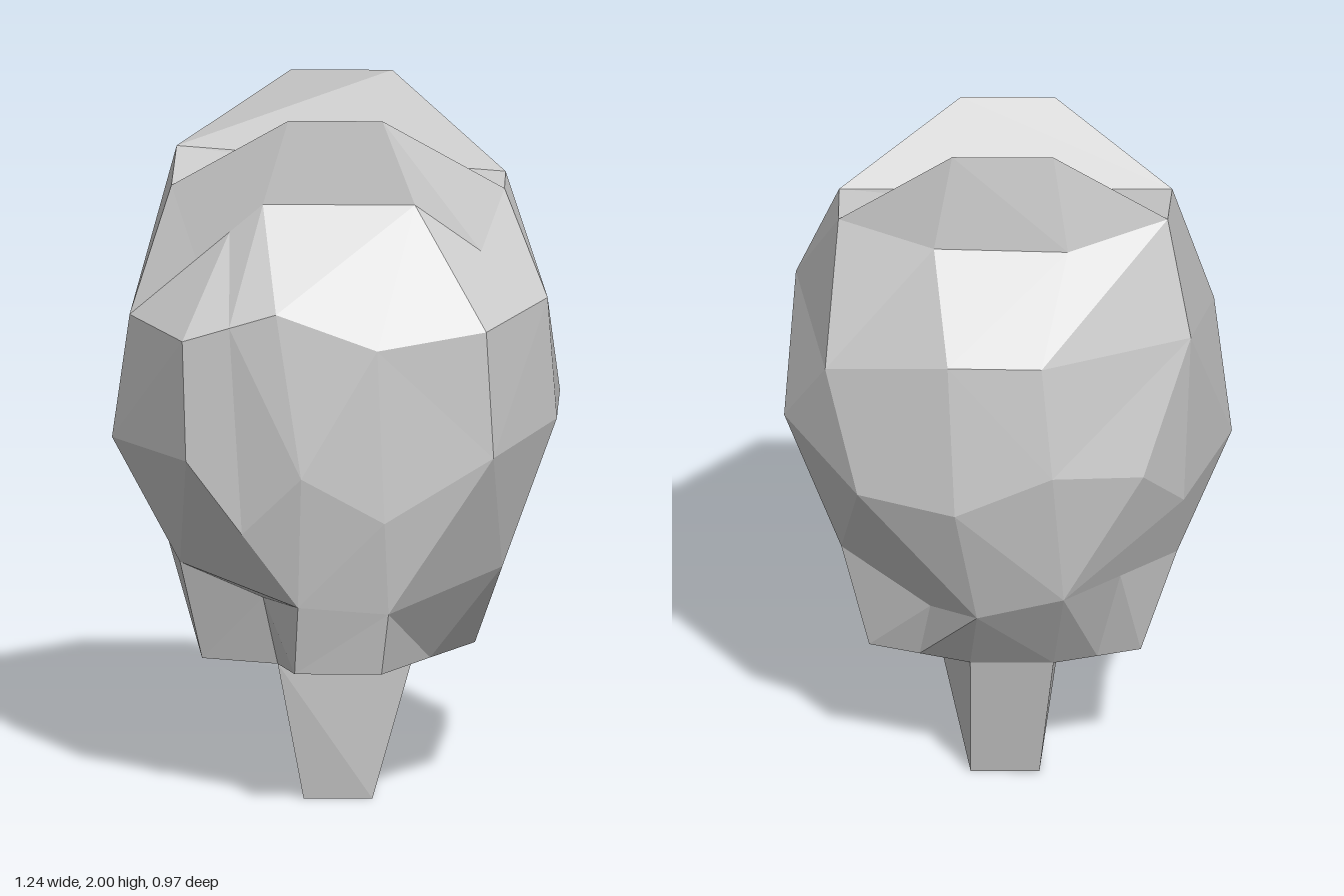
import * as THREE from 'three';

const stone = new THREE.MeshStandardMaterial({ color: 0xcccccc });
stone.name = 'pale grey';

// Triangles collected from points, flat shaded, skipping collapsed ones
function facetMesh(name, tris) {
  const pts = [];
  for (const [a, b, c] of tris) {
    const [p, q, r] = [a, b, c].map(v => new THREE.Vector3(...v));
    const area = q.clone().sub(p).cross(r.clone().sub(p)).length();
    if (area > 1e-6) pts.push(p, q, r);
  }
  const geo = new THREE.BufferGeometry().setFromPoints(pts);
  geo.computeVertexNormals();
  const mesh = new THREE.Mesh(geo, stone);
  mesh.name = name;
  return mesh;
}

// Quad split along the diagonal that bulges outward, or inward for a dent
function quad(tris, a, b, c, d, dent = false) {
  const out = (p, q) => Math.hypot(p[0] + q[0], p[1] + q[1] - 2.1, p[2] + q[2]);
  if ((out(a, c) >= out(b, d)) !== dent) tris.push([a, b, c], [a, c, d]);
  else tris.push([a, b, d], [b, c, d]);
}

// Skin between rings listed bottom to top, counter-clockwise from above
function loft(rings, dents = []) {
  const tris = [];
  for (let k = 0; k + 1 < rings.length; k++) {
    const lo = rings[k], hi = rings[k + 1], n = lo.length;
    for (let i = 0; i < n; i++) {
      const j = (i + 1) % n;
      quad(tris, lo[i], lo[j], hi[j], hi[i], dents.includes(`${k},${i}`));
    }
  }
  return tris;
}

const mid = (p, q) => p.map((v, i) => (v + q[i]) / 2);
// Adds a midpoint between the last and first point of a ring
const closeMid = r => [...r, mid(r[0], r[r.length - 1])];
// Repeats one point on the +x side and one at the back, to match the fuller middle ring
const widen = (r, side, back) => [...r.slice(0, 3), r[side], ...r.slice(3, 7), r[back], ...r.slice(7)];

// Where the trunk joins the crown: front left, front right, back right, back left
const neck = [[-0.16, 0.4, 0.165], [0.21, 0.4, 0.11], [0.1, 0.4, -0.2], [-0.13, 0.4, -0.2]];

function createCrown() {
  // Each ring runs front, +x side, back, -x side
  const joint = [0, 1, 1, 1, 2, 2, 3, 3, 3, 0, 0].map(i => neck[i]);
  const base = [
    [-0.11, 0.42, 0.37], [0.13, 0.42, 0.37], [0.26, 0.41, 0.125], [0.38, 0.4, -0.1], [0.24, 0.4, -0.15],
    neck[2], neck[3], [-0.25, 0.4, -0.16], [-0.37, 0.4, -0.12], [-0.37, 0.4, 0.1], neck[0]];
  const low = closeMid([
    [-0.1, 0.62, 0.42], [0.15, 0.6, 0.41], [0.46, 0.68, 0.17], [0.457, 0.71, -0.1], [0.268, 0.67, -0.235],
    [0.08, 0.635, -0.37], [-0.16, 0.71, -0.4], [-0.315, 0.705, -0.25], [-0.47, 0.7, -0.1], [-0.43, 0.69, 0.17]]);
  // Notches tucked under the lower edge, back +x and front -x
  const undercut = [...low];
  undercut[4] = [0.21, 0.59, -0.22];
  undercut[10] = [-0.2, 0.6, 0.21];
  const middle = [
    [-0.09, 1.0, 0.485], [0.14, 0.87, 0.465], [0.44, 1.04, 0.39], [0.61, 1.09, 0.12], [0.615, 1.12, -0.09],
    [0.41, 1.03, -0.38], [0.14, 1.02, -0.485], [-0.13, 1.14, -0.485], [-0.38, 1.09, -0.38],
    [-0.49, 0.93, -0.22], [-0.62, 1.01, 0.03], [-0.41, 1.03, 0.4]];
  middle.push(mid(middle[11], low[0]));
  const upper = closeMid([
    [-0.16, 1.46, 0.455], [0.12, 1.36, 0.465], [0.42, 1.4, 0.4], [0.585, 1.44, 0.15], [0.5, 1.36, -0.26],
    [0.16, 1.47, -0.45], [-0.1, 1.47, -0.455], [-0.51, 1.46, -0.25], [-0.57, 1.38, 0.12], [-0.42, 1.37, 0.4]]);
  const frontL = [-0.2, 1.72, 0.23], frontR = [0.22, 1.72, 0.23];
  const shoulder = closeMid([
    frontL, frontR, mid(frontR, upper[3]), [0.465, 1.735, 0.09], [0.465, 1.74, -0.09],
    [0.2, 1.72, -0.22], [-0.17, 1.72, -0.235], [-0.445, 1.79, -0.17], [-0.455, 1.74, 0.09], mid(frontL, upper[8])]);
  // Two raised fins, front and back, meeting the shoulder at their ends
  const fl = [-0.13, 1.955, 0.22], fr = [0.13, 1.955, 0.22];
  const bl = [-0.13, 2, -0.2], br = [0.15, 2, -0.2];
  const [sf, sb, lb, lf] = [3, 4, 7, 8].map(i => shoulder[i]);
  const crest = [fl, fr, fr, sf, sb, br, bl, lb, lf, fl, fl];

  const lowerRings = [joint, base, undercut, low].map(r => widen(r, 2, 6));
  const upperRings = [upper, shoulder, crest].map(r => widen(r, 3, 7));
  // Dents fold the shoulder inward at the foot of the fins
  const tris = loft([...lowerRings, middle, ...upperRings], ['5,2', '5,5', '5,10']);
  // Inner slopes of the fins and the valley floor
  quad(tris, fl, fr, sf, lf);
  quad(tris, lf, sf, sb, lb);
  quad(tris, lb, sb, br, bl);
  return facetMesh('crown', tris);
}

function createTrunk() {
  const foot = [[-0.09, 0, 0.09], [0.1, 0, 0.09], [0.1, 0, -0.1], [-0.09, 0, -0.1]];
  const tris = loft([foot, neck]);
  quad(tris, foot[3], foot[2], foot[1], foot[0]);
  return facetMesh('trunk', tris);
}

export function createModel() {
  const model = new THREE.Group();
  model.name = 'lowPolyTree';
  model.add(createCrown(), createTrunk());
  return model;
}
